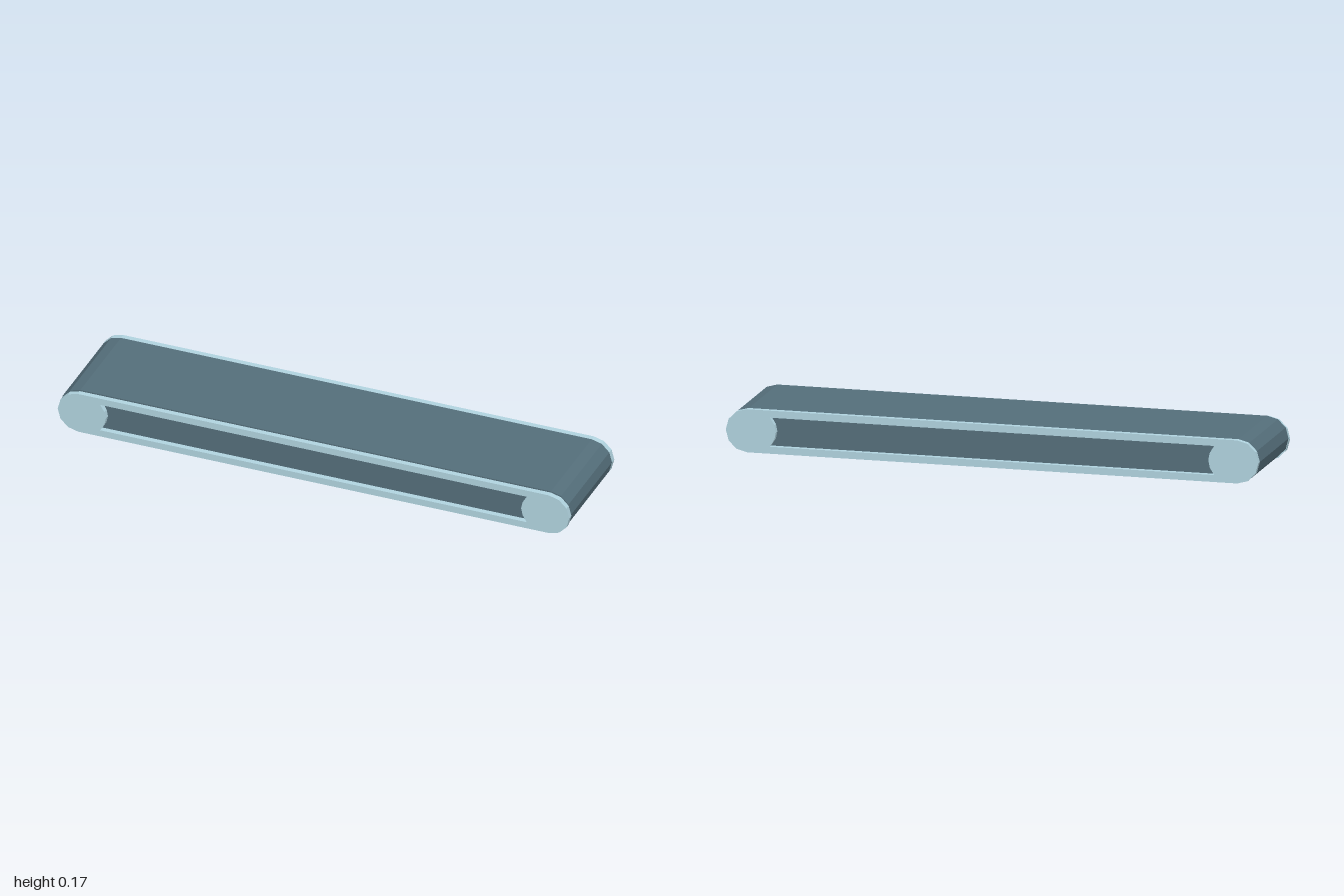
import * as THREE from 'three';

const RADIUS = 0.08;
const END = 1 - RADIUS; // x of the roller axes

// Points of a stadium outline with faceted round ends
function stadium(r) {
  const points = [];
  for (const [side, start] of [[1, -Math.PI / 2], [-1, Math.PI / 2]]) {
    for (let i = 0; i <= 6; i++) {
      const a = start + (i * Math.PI) / 6;
      points.push(new THREE.Vector2(side * END + r * Math.cos(a), r * Math.sin(a)));
    }
  }
  return points;
}

// Long window whose ends bulge inward around the end plates
function windowHole() {
  const h = 0.054;
  const points = [];
  for (const side of [1, -1]) {
    for (let i = 0; i <= 4; i++) {
      const t = -1 + i / 2;
      points.push(new THREE.Vector2(side * (0.812 + 0.022 * t * t), side * t * h));
    }
  }
  return new THREE.Path(points);
}

function extruded(name, shape, depth, material, y, z) {
  const geometry = new THREE.ExtrudeGeometry(shape, { depth, bevelEnabled: false, curveSegments: 6 });
  const mesh = new THREE.Mesh(geometry, material);
  mesh.name = name;
  mesh.position.set(0, y, z);
  return mesh;
}

export function createModel() {
  const group = new THREE.Group();
  group.name = 'conveyor';
  const dark = new THREE.MeshStandardMaterial({ color: 0x546e7a, flatShading: true });
  const light = new THREE.MeshStandardMaterial({ color: 0xb0d3df, flatShading: true });

  // Belt body, closed behind the windows
  group.add(extruded('belt', new THREE.Shape(stadium(RADIUS - 0.0005)), 0.388, dark, 0.0855, -0.194));

  // Side frames, the front one sitting slightly lower
  const frame = new THREE.Shape(stadium(RADIUS));
  frame.holes.push(windowHole());
  group.add(extruded('frontFrame', frame, 0.021, light, 0.08, 0.194));
  group.add(extruded('backFrame', frame, 0.021, light, 0.0855, -0.215));

  return group;
}
